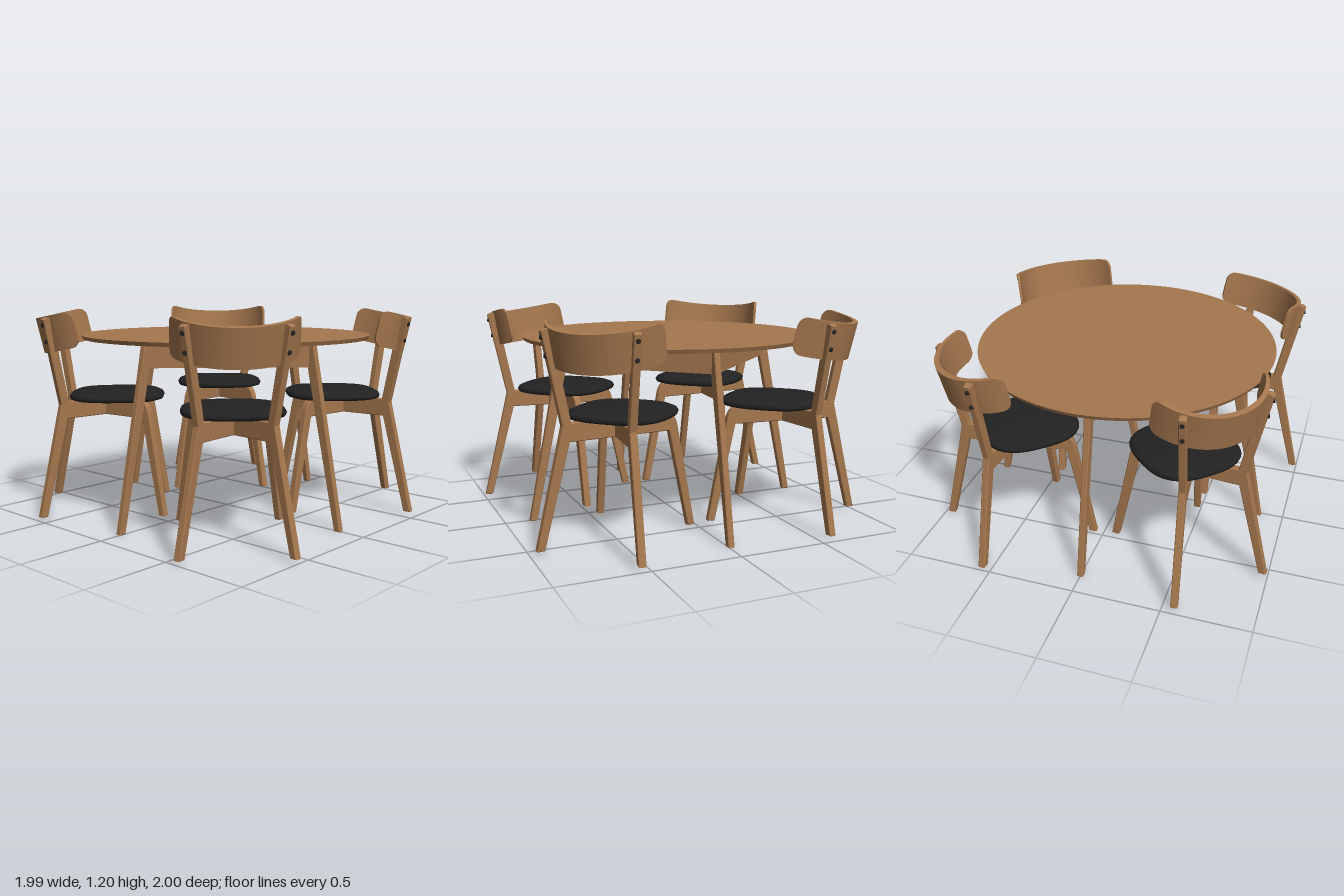
import * as THREE from 'three';

const wood = new THREE.MeshStandardMaterial({ color: 0xa5774e });
wood.name = 'wood';
const black = new THREE.MeshStandardMaterial({ color: 0x222222 });
black.name = 'black';

function mesh(name, geometry, material) {
  const m = new THREE.Mesh(geometry, material);
  m.name = name;
  return m;
}

// Plank cut from a side profile, centred on its own plane, edges eased
function plank(shape, thickness) {
  const b = 0.004;
  const g = new THREE.ExtrudeGeometry(shape, {
    depth: thickness - 2 * b, bevelSize: b, bevelThickness: b, bevelOffset: -b, bevelSegments: 1, curveSegments: 8,
  });
  return g.translate(0, 0, b - thickness / 2);
}

// Front leg, seat rail, back leg and upright in one piece; +x is the chair's front
function chairFrameShape() {
  const s = new THREE.Shape();
  s.moveTo(-0.472, 0.02);
  s.lineTo(-0.43, 0.02);
  s.lineTo(-0.28, 0.58);
  s.lineTo(0.305, 0.58);
  s.lineTo(0.425, 0.02);
  s.lineTo(0.467, 0.02);
  s.lineTo(0.357, 0.60);
  s.quadraticCurveTo(0.342, 0.68, 0.29, 0.68);
  s.lineTo(-0.27, 0.68);
  s.lineTo(-0.365, 1.16);
  s.quadraticCurveTo(-0.395, 1.18, -0.42, 1.155);
  s.lineTo(-0.318, 0.665);
  s.closePath();
  return s;
}

// Round cushion squared off into a superellipse
function seatGeometry() {
  const profile = [[0, 0.678], [0.255, 0.678], [0.274, 0.684], [0.28, 0.698], [0.272, 0.712],
    [0.245, 0.724], [0.16, 0.732], [0, 0.735]].map(([r, y]) => new THREE.Vector2(r, y));
  const g = new THREE.LatheGeometry(profile, 48);
  const p = g.attributes.position;
  const n = 2.8;
  for (let i = 0; i < p.count; i++) {
    const a = Math.atan2(p.getZ(i), p.getX(i));
    const k = (Math.abs(Math.cos(a)) ** n + Math.abs(Math.sin(a)) ** n) ** (-1 / n);
    p.setX(i, p.getX(i) * k);
    p.setZ(i, p.getZ(i) * k);
  }
  g.computeVertexNormals();
  return g;
}

// Board bent round an arc, thinner at the ends, with rounded corners
function backrestGeometry() {
  const R = 0.34, maxAngle = 1.31, half = 0.103, corner = 0.055;
  const g = new THREE.BoxGeometry(2, 2, 1, 48, 1, 1);
  const p = g.attributes.position;
  for (let i = 0; i < p.count; i++) {
    const s = Math.sin(p.getX(i) * Math.PI / 2);
    const a = s * maxAngle;
    const gap = Math.max(0, corner - R * (maxAngle - Math.abs(a)));
    const h = half - corner + Math.sqrt(Math.max(0, corner * corner - gap * gap));
    const depth = (0.5 + p.getZ(i)) * 0.03 * (1 - 0.5 * s * s);
    const r = R - depth;
    p.setXYZ(i, r * Math.sin(a), p.getY(i) * h, R - r * Math.cos(a));
  }
  g.computeVertexNormals();
  return g;
}

function createChair(name) {
  const chair = new THREE.Group();
  chair.name = name;
  const frameGeometry = plank(chairFrameShape(), 0.04);
  const boltGeometry = new THREE.CylinderGeometry(0.012, 0.012, 0.012, 12).rotateZ(Math.PI / 2 - 0.2);

  // Two frames crossing under the seat
  for (const side of [-1, 1]) {
    const frame = new THREE.Group();
    frame.name = side < 0 ? 'rightBackFrame' : 'leftBackFrame';
    frame.rotation.y = -side * 0.686 - Math.PI / 2;
    frame.add(mesh('legFrame', frameGeometry, wood));
    for (const [x, y] of [[-0.414, 1.125], [-0.394, 1.03]]) {
      const bolt = mesh('bolt', boltGeometry, black);
      bolt.position.set(x, y, 0);
      frame.add(bolt);
    }
    chair.add(frame);
  }

  const seat = mesh('seat', seatGeometry(), black);
  seat.position.z = 0.07;
  chair.add(seat);

  const backrest = mesh('backrest', backrestGeometry(), wood);
  backrest.position.set(0, 1.053, -0.377);
  backrest.rotation.x = -0.22;
  chair.add(backrest);
  return chair;
}

function createTable() {
  const table = new THREE.Group();
  table.name = 'table';

  const top = mesh('tableTop', new THREE.CylinderGeometry(0.858, 0.848, 0.022, 96), wood);
  top.position.y = 1.049;
  table.add(top);

  const legShape = new THREE.Shape([[0.828, 0], [0.868, 0], [0.665, 1.04], [0.6, 1.04], [0.63, 0.9]]
    .map(([x, y]) => new THREE.Vector2(x, y)));
  const legGeometry = plank(legShape, 0.036);
  const apronGeometry = new THREE.BoxGeometry(0.64 * Math.SQRT2, 0.142, 0.03);

  // Splayed legs, with the apron joining them in a square
  for (let i = 0; i < 4; i++) {
    const leg = mesh('tableLeg', legGeometry, wood);
    leg.rotation.y = i * Math.PI / 2;
    table.add(leg);
    const a = Math.PI / 4 + i * Math.PI / 2;
    const apron = mesh('apron', apronGeometry, wood);
    apron.position.set(Math.sin(a) * 0.452, 0.969, Math.cos(a) * 0.452);
    apron.rotation.y = a;
    table.add(apron);
  }
  table.position.z = -0.012;
  return table;
}

export function createModel() {
  const model = new THREE.Group();
  model.name = 'diningSet';
  model.add(createTable());

  // Each chair faces the table centre
  const places = [
    ['frontRightChair', -0.527, 0.527, 135],
    ['frontLeftChair', 0.517, 0.495, 225],
    ['backLeftChair', 0.502, -0.53, 315],
    ['backRightChair', -0.522, -0.508, 45],
  ];
  for (const [name, x, z, degrees] of places) {
    const chair = createChair(name);
    chair.position.set(x, 0, z);
    chair.rotation.y = THREE.MathUtils.degToRad(degrees);
    model.add(chair);
  }
  return model;
}
